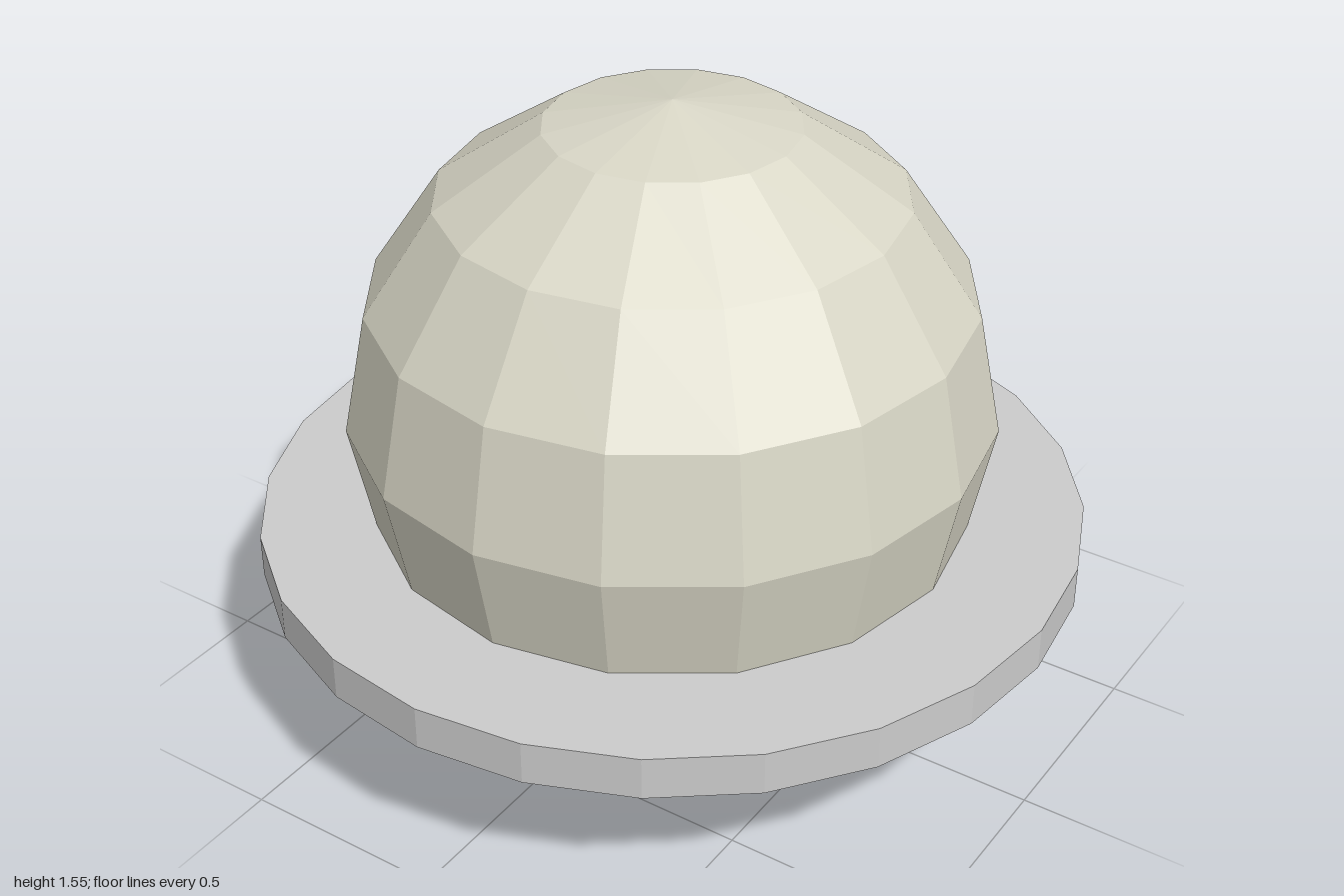
import * as THREE from 'three';

export function createModel() {
  const group = new THREE.Group();
  const radius = 0.777;

  // Faceted ball, resting on the ground
  const ball = new THREE.Mesh(
    new THREE.SphereGeometry(radius, 16, 8),
    new THREE.MeshStandardMaterial({ color: 0xd8d6c6, flatShading: true })
  );
  ball.name = 'ball';
  ball.position.y = radius;
  group.add(ball);

  // Flat disc encircling the lower half of the ball
  const ring = new THREE.Mesh(
    new THREE.CylinderGeometry(1, 1, 0.107, 24),
    new THREE.MeshStandardMaterial({ color: 0xcccccc, flatShading: true })
  );
  ring.name = 'ringDisc';
  ring.position.y = 0.45;
  group.add(ring);

  return group;
}
